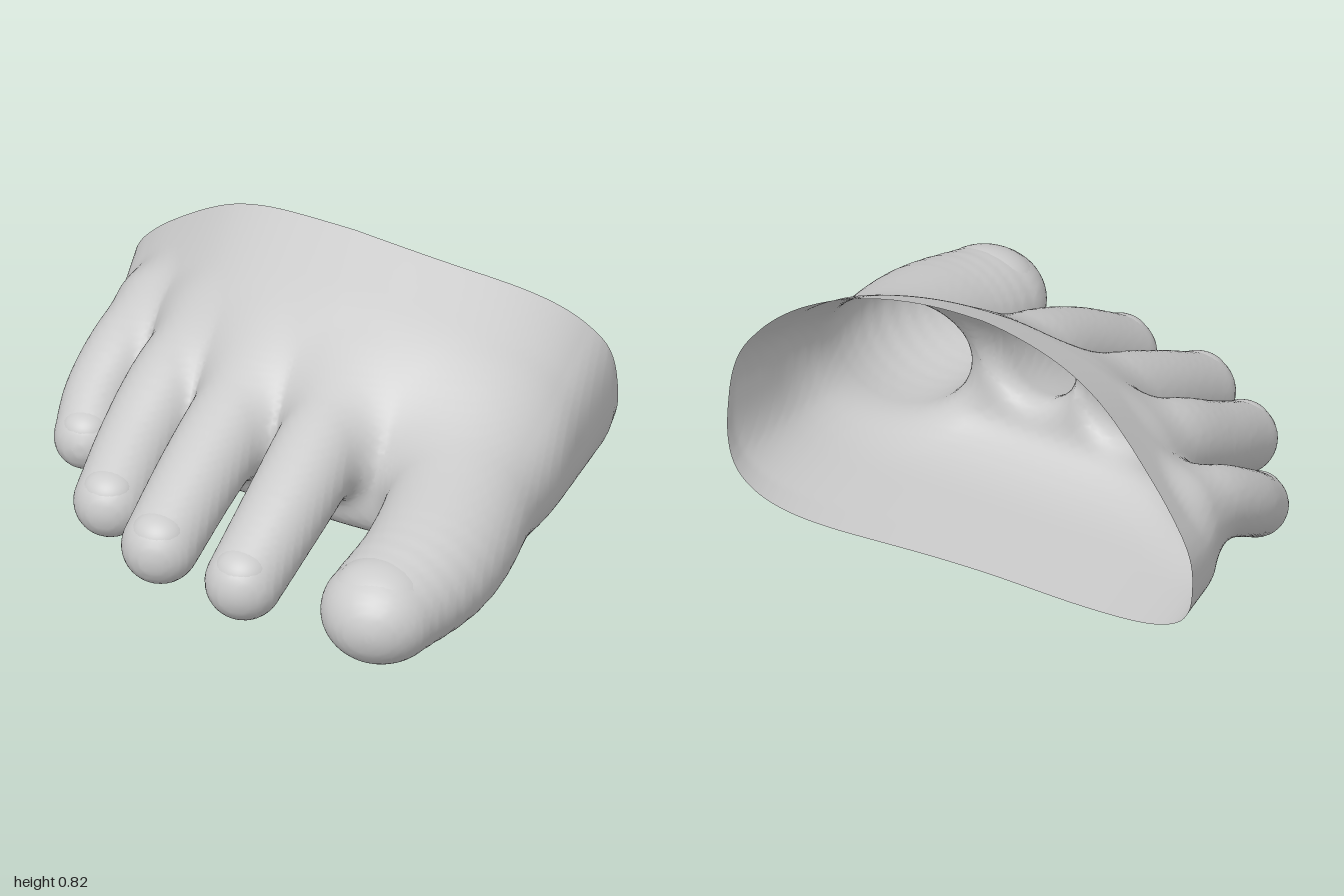
import * as THREE from 'three';

const clamp = THREE.MathUtils.clamp;

// Toes as chains of [x, y, z, radius], root to tip; sy squashes the section,
// tilt leans the nail forward, nail holds its half width and height per radius
const TOES = [
  { name: 'bigToe', sy: 0.87, tilt: 0.15, nail: [0.84, 0.71],
    pts: [[0.5, 0.36, -0.15, 0.26], [0.535, 0.28, 0.2, 0.24], [0.505, 0.222, 0.52, 0.232], [0.4, 0.19, 0.803, 0.198]] },
  { name: 'secondToe', sy: 1, tilt: 0.45, nail: [0.72, 0.52],
    pts: [[0.12, 0.43, -0.12, 0.16], [0.055, 0.375, 0.14, 0.15], [-0.01, 0.275, 0.4, 0.14], [-0.09, 0.143, 0.652, 0.128]] },
  { name: 'middleToe', sy: 1, tilt: 0.45, nail: [0.72, 0.52],
    pts: [[-0.19, 0.42, -0.27, 0.16], [-0.26, 0.355, -0.03, 0.15], [-0.335, 0.26, 0.22, 0.138], [-0.405, 0.14, 0.483, 0.128]] },
  { name: 'fourthToe', sy: 1, tilt: 0.45, nail: [0.72, 0.52],
    pts: [[-0.45, 0.39, -0.43, 0.145], [-0.525, 0.33, -0.2, 0.14], [-0.59, 0.23, 0.02, 0.127], [-0.628, 0.132, 0.234, 0.12]] },
  { name: 'littleToe', sy: 1, tilt: 0.5, nail: [0.7, 0.5],
    pts: [[-0.68, 0.33, -0.64, 0.12], [-0.74, 0.275, -0.46, 0.12], [-0.788, 0.195, -0.3, 0.112], [-0.796, 0.118, -0.164, 0.107]] },
];

// Line of the toe webs and the slanted rear cut, both as [x, z];
// instep height as [distance from the webs, y]
const WEBS = [[-0.85, -0.43], [-0.67, -0.29], [-0.42, -0.04], [-0.1, 0.09], [0.28, 0.21], [0.9, 0.33]];
const REAR = [[-0.84, -1.04], [-0.4, -0.805], [0, -0.64], [0.4, -0.55], [0.9, -0.555]];
const TOP = [[-0.6, 0.82], [-0.2, 0.64], [0.02, 0.55]];

// Smooth lookup through the points of a table, straight past both ends
function lookup(table, x) {
  let i = 0;
  while (i < table.length - 2 && x > table[i + 1][0]) i++;
  const slope = (a, b) => (b[1] - a[1]) / (b[0] - a[0]);
  const [a, b] = [table[i], table[i + 1]];
  const m0 = slope(table[Math.max(i - 1, 0)], b);
  const m1 = slope(a, table[Math.min(i + 2, table.length - 1)]);
  if (x < a[0]) return a[1] + m0 * (x - a[0]);
  if (x > b[0]) return b[1] + m1 * (x - b[0]);
  const w = b[0] - a[0], t = (x - a[0]) / w, t2 = t * t, t3 = t2 * t;
  return a[1] + (3 * t2 - 2 * t3) * (b[1] - a[1]) + w * ((t3 - 2 * t2 + t) * m0 + (t3 - t2) * m1);
}

const rearCut = (x, y) => lookup(REAR, x) + (0.19 + 0.1 * x) * y;

// Forefoot: rounded cross-sections that get lower towards the toes and the outer edge
function bodyField(x, y, z) {
  const s = z - lookup(WEBS, x);
  const half = x > 0.03 ? 0.87 - 0.12 * clamp((z + 0.4) / 0.6, 0, 1) : 0.86;
  const u = (x - 0.03) / half;
  const side = clamp(-u, 0, 1.1);
  const height = lookup(TOP, clamp(s, -0.85, 0.1)) * (1 - 0.08 * side - 0.2 * side * side);
  const v = y / height - 0.42;
  const vn = v / (v > 0 ? 0.58 : 0.42);
  const w = Math.max(0, (s + 0.42) / 0.42);
  const n = 2.75 - 0.35 * clamp(vn * 2, -1, 1);
  return (Math.pow(Math.abs(u) ** n + Math.abs(vn) ** n + w ** n, 1 / n) - 1) * 0.36;
}

// Smooth curve through a toe's points, sampled as [x, y / sy, z, radius]
function sampleToe({ pts, sy }, count) {
  const axis = new THREE.CatmullRomCurve3(pts.map((p) => new THREE.Vector3(p[0], p[1] / sy, p[2])), false, 'catmullrom');
  const radii = pts.map((p, i) => [i / (pts.length - 1), p[3]]);
  return Array.from({ length: count + 1 }, (_, i) => [...axis.getPoint(i / count).toArray(), lookup(radii, i / count)]);
}

// Distance to a chain of tapered round segments
function chainField(pts, x, y, z) {
  let best = 9;
  for (let i = 0; i + 1 < pts.length; i++) {
    const a = pts[i], b = pts[i + 1];
    const dx = b[0] - a[0], dy = b[1] - a[1], dz = b[2] - a[2];
    const px = x - a[0], py = y - a[1], pz = z - a[2];
    const t = clamp((px * dx + py * dy + pz * dz) / (dx * dx + dy * dy + dz * dz), 0, 1);
    const ex = px - t * dx, ey = py - t * dy, ez = pz - t * dz;
    best = Math.min(best, Math.sqrt(ex * ex + ey * ey + ez * ez) - a[3] - t * (b[3] - a[3]));
  }
  return best;
}

// Toes stay separate from one another but melt softly into the forefoot
const CHAINS = TOES.map((toe) => sampleToe(toe, 14));
function footField(x, y, z) {
  const body = bodyField(x, y, z);
  let toes = 9;
  CHAINS.forEach((chain, i) => { toes = Math.min(toes, chainField(chain, x, y / TOES[i].sy, z)); });
  const k = 0.1, m = Math.max(k - Math.abs(body - toes), 0) / k;
  return Math.min(body, toes) - m * m * k * 0.25;
}

// Pull a point onto the surface, moving it along the first `axes` axes only
function settle(field, p, axes) {
  const e = 0.002, f = field(...p);
  const g = [0, 1, 2].slice(0, axes).map((a) => (field(...p.map((q, n) => q + (n === a ? e : 0))) - f) / e);
  const d = f / (g.reduce((sum, q) => sum + q * q, 0) + 0.01);
  return p.map((q, a) => (a < axes ? q - clamp(g[a] * d, -0.015, 0.015) : q));
}

// Skin the field: one vertex per crossed cell, one quad per crossed grid edge
function skin(field, min, size, step) {
  const [nx, ny, nz] = size.map((l) => Math.ceil(l / step) + 1);
  const stride = [1, nx, nx * ny];
  const values = new Float32Array(nx * ny * nz);
  const at = (i, j, k) => i + nx * (j + ny * k);
  for (let k = 0; k < nz; k++) for (let j = 0; j < ny; j++) for (let i = 0; i < nx; i++)
    values[at(i, j, k)] = field(min[0] + i * step, min[1] + j * step, min[2] + k * step);

  const vertexOf = new Int32Array(values.length).fill(-1);
  const positions = [], inside = [], index = [];
  for (let k = 0; k < nz - 1; k++) for (let j = 0; j < ny - 1; j++) for (let i = 0; i < nx - 1; i++) {
    const id = at(i, j, k), sum = [0, 0, 0];
    let count = 0;
    for (let c = 0; c < 8; c++) for (let a = 0; a < 3; a++) {
      if (c >> a & 1) continue;
      const corner = [c & 1, c >> 1 & 1, c >> 2 & 1];
      const p = id + corner[0] + corner[1] * stride[1] + corner[2] * stride[2];
      const f0 = values[p], f1 = values[p + stride[a]];
      if (f0 < 0 === f1 < 0) continue;
      corner[a] += f0 / (f0 - f1);
      corner.forEach((q, n) => { sum[n] += q; });
      count++;
    }
    if (!count) continue;
    let p = settle(field, [i, j, k].map((g, n) => min[n] + (g + sum[n] / count) * step), 3);
    vertexOf[id] = inside.length;
    const kept = p[2] > rearCut(p[0], p[1]);
    inside.push(kept);
    // Vertices behind the rear cut slide onto it, giving a clean rim
    if (!kept) {
      p = settle(field, [p[0], p[1], rearCut(p[0], p[1])], 2);
      p[2] = rearCut(p[0], p[1]);
    }
    positions.push(p[0], Math.max(0, p[1]), p[2]);
  }

  for (let k = 1; k < nz - 1; k++) for (let j = 1; j < ny - 1; j++) for (let i = 1; i < nx - 1; i++) {
    const id = at(i, j, k);
    for (let a = 0; a < 3; a++) {
      const solid = values[id] < 0;
      if (solid === values[id + stride[a]] < 0) continue;
      const b = stride[(a + 1) % 3], c = stride[(a + 2) % 3];
      const q = [id - b - c, id - c, id, id - b].map((cell) => vertexOf[cell]);
      if (!q.some((v) => inside[v])) continue;
      if (!solid) q.reverse();
      index.push(q[0], q[1], q[2], q[0], q[2], q[3]);
    }
  }
  const geometry = new THREE.BufferGeometry();
  geometry.setAttribute('position', new THREE.Float32BufferAttribute(positions, 3));
  geometry.setIndex(index);
  geometry.computeVertexNormals();
  return geometry;
}

export function createModel() {
  const group = new THREE.Group();
  group.name = 'forefoot';
  const material = new THREE.MeshStandardMaterial({ color: 0xcccccc, side: THREE.DoubleSide });

  // Open-backed foot shell with its five toes
  const foot = new THREE.Mesh(skin(footField, [-1, -0.06, -1.18], [2, 1.0, 2.26], 0.02), material);
  foot.name = 'footShell';
  group.add(foot);

  // Toenails: domes sunk into the toe tips so that only a thin plate stands out
  for (const { name, sy, tilt, nail, pts } of TOES) {
    const [x, y, z, r] = pts[pts.length - 1];
    const mesh = new THREE.Mesh(new THREE.SphereGeometry(r, 32, 12, 0, Math.PI * 2, 0, Math.PI / 2), material);
    mesh.name = name + 'Nail';
    mesh.scale.set(nail[0], nail[1] * sy, nail[0] * 0.9);
    mesh.rotation.x = tilt;
    const reach = r * (1.04 - nail[1]);
    mesh.position.set(x, y + reach * Math.cos(tilt) * sy, z + reach * Math.sin(tilt));
    group.add(mesh);
  }
  return group;
}
